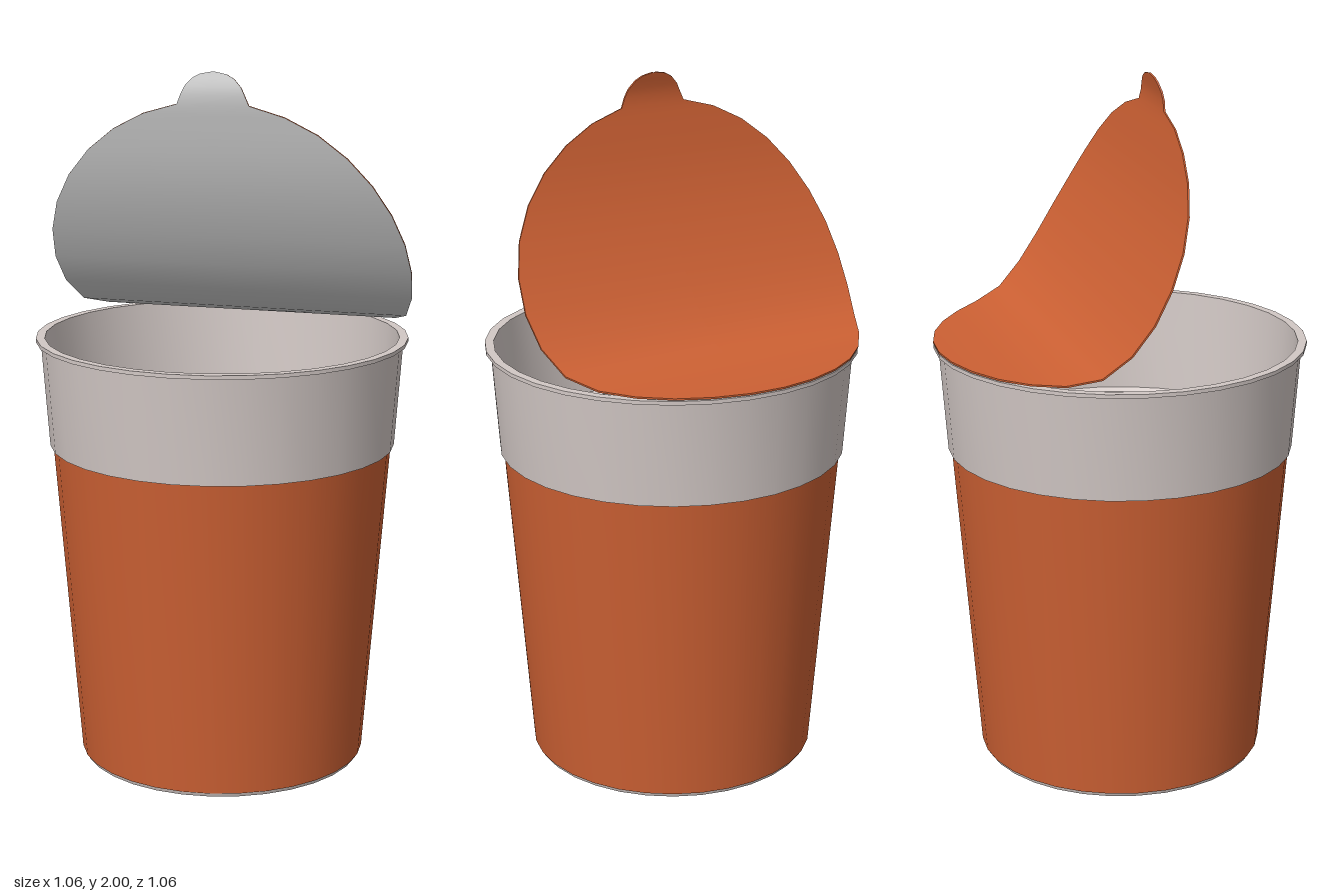
import * as THREE from 'three';
import { toCreasedNormals } from 'three/addons/utils/BufferGeometryUtils.js';

const SEGMENTS = 32;
const RIM = 0.53;

const paint = (color, side = THREE.FrontSide) => new THREE.MeshStandardMaterial({ color, side });

function lathe(name, profile, material) {
  const points = profile.map(([r, y]) => new THREE.Vector2(r, y));
  const geometry = toCreasedNormals(new THREE.LatheGeometry(points, SEGMENTS), 0.5);
  const mesh = new THREE.Mesh(geometry, material);
  mesh.name = name;
  return mesh;
}

// Joins matching rows of points into a surface; flip reverses the facing.
function loft(name, rows, material, flip = false) {
  const n = rows[0].length;
  const index = [];
  for (let i = 0; i < rows.length - 1; i++) {
    for (let j = 0; j < n - 1; j++) {
      const a = i * n + j, b = a + 1, c = a + n, d = c + 1;
      if (flip) index.push(a, b, d, a, d, c);
      else index.push(a, d, b, a, c, d);
    }
  }
  const geometry = new THREE.BufferGeometry().setFromPoints(rows.flat());
  geometry.setIndex(index);
  geometry.computeVertexNormals();
  const mesh = new THREE.Mesh(geometry, material);
  mesh.name = name;
  return mesh;
}

// A round foil with a pull tab, bent along a side profile and peeled open.
function createLid(orange, foil) {
  const lid = new THREE.Group();
  lid.name = 'peeledLid';
  const bend = new THREE.CatmullRomCurve3([
    [-0.53, 1.246], [-0.4, 1.248], [-0.28, 1.26], [-0.2, 1.29], [-0.1, 1.4],
    [0, 1.58], [0.05, 1.71], [0.08, 1.83], [0.098, 1.93], [0.088, 1.996],
  ].map(([z, y]) => new THREE.Vector3(0, y, z)));
  const length = bend.getLength();

  // Outline: distance along the bend and half width
  const outline = [];
  const reach = 0.521;
  for (let k = 0; k < 16; k++) {
    const a = (k / 16) * Math.PI;
    outline.push([reach * (1 - Math.cos(a)), RIM * Math.sin(a)]);
  }
  const start = outline[15][0];
  for (const [t, w] of [[0.3, 0.092], [0.55, 0.081], [0.8, 0.06], [0.93, 0.038], [1, 0.004]]) {
    outline.push([start + (length - start) * t, w]);
  }

  const top = [], under = [], edges = [[], []];
  for (const [s, w] of outline) {
    const u = Math.min(s / length, 1);
    const p = bend.getPointAt(u), t = bend.getTangentAt(u);
    const normal = new THREE.Vector3(0, t.z, -t.y);
    const row = [], low = [];
    for (const x of [-w, 0, w]) {
      low.push(new THREE.Vector3(x, p.y, p.z));
      row.push(low.at(-1).clone().addScaledVector(normal, 0.005));
    }
    top.push(row);
    under.push(low);
    edges[0].push([low[0], row[0]]);
    edges[1].push([low[2], row[2]]);
  }
  lid.add(loft('lidTop', top, orange));
  lid.add(loft('lidUnderside', under, foil, true));
  const edgeMaterial = paint(orange.color, THREE.DoubleSide);
  lid.add(loft('lidEdgeRight', edges[0], edgeMaterial));
  lid.add(loft('lidEdgeLeft', edges[1], edgeMaterial));
  return lid;
}

export function createModel() {
  const model = new THREE.Group();
  model.name = 'cupWithPeeledLid';
  const orange = paint(0xcc6033);
  const plastic = paint(0xd2c8c5);

  // Cup shell: base, wall, wide collar, rim, then the stepped inside
  model.add(lathe('cup', [
    [0, 0], [0.405, 0], [0.41, 0.012], [0.481, 0.93], [0.494, 0.93], [0.516, 1.232],
    [RIM, 1.232], [RIM, 1.243], [0.505, 1.243], [0.484, 0.94], [0.47, 0.93],
    [0.375, 0.03], [0, 0.03],
  ], plastic));

  // Coloured sleeve around the lower wall
  model.add(lathe('sleeve', [[0.408, 0.012], [0.413, 0.012], [0.485, 0.93]], orange));

  model.add(createLid(orange, paint(0xcccccc)));
  return model;
}
